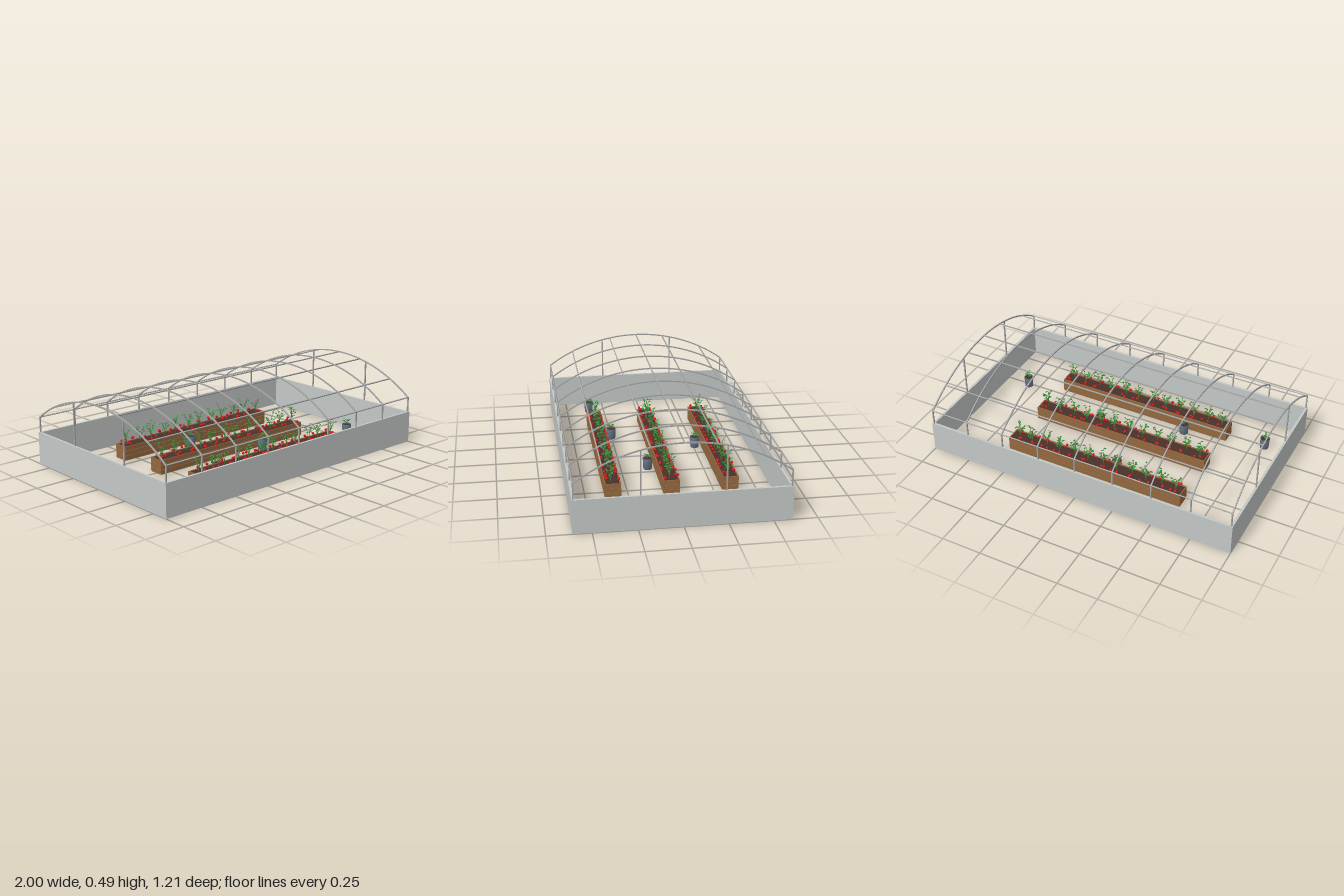
import * as THREE from 'three';
import { mergeGeometries } from 'three/addons/utils/BufferGeometryUtils.js';

const mat = (name, color, side = THREE.FrontSide) => {
  const m = new THREE.MeshStandardMaterial({ color, side });
  m.name = name;
  return m;
};

export function createModel() {
  const M = {
    wall: mat('concrete grey', 0xc3c8c6),
    frame: mat('steel grey', 0xa6a6a6),
    wood: mat('plank brown', 0x94683f),
    darkWood: mat('dark wood', 0x5a3d26),
    soil: mat('soil brown', 0x49302a),
    leaf: mat('leaf green', 0x3a8f3c, THREE.DoubleSide),
    stem: mat('stem green', 0x4c8a3c),
    berry: mat('berry red', 0xe01c1c),
    pot: mat('slate pot', 0x6b7b8c),
  };
  const model = new THREE.Group();
  model.name = 'greenhouse';

  let seed = 7;
  const rand = (a = 0, b = 1) => {
    seed = (seed * 16807) % 2147483647;
    return a + (b - a) * (seed / 2147483647);
  };
  const add = (parent, name, geo, material, x = 0, y = 0, z = 0) => {
    const m = new THREE.Mesh(geo, material);
    m.name = name;
    m.position.set(x, y, z);
    parent.add(m);
    return m;
  };
  const box = (parent, name, w, h, d, material, x, y, z) =>
    add(parent, name, new THREE.BoxGeometry(w, h, d), material, x, y, z);

  // Low perimeter wall, open in the middle
  const W = 1, D = 0.607, T = 0.015, WALL = 0.2;
  for (const s of [-1, 1]) {
    box(model, 'longWall', 2 * W, WALL, T, M.wall, 0, WALL / 2, s * (D - T / 2));
    box(model, 'endWall', T, WALL, 2 * (D - T), M.wall, s * (W - T / 2), WALL / 2, 0);
  }

  // Arched steel frame
  const frame = new THREE.Group();
  frame.name = 'frame';
  model.add(frame);
  const SPAN = 0.602, TOP = 0.493, EAVE = 0.295, BAR = 0.0075;
  const R = (SPAN ** 2 + (TOP - EAVE) ** 2) / (2 * (TOP - EAVE));
  const CY = TOP - R;
  const archY = z => CY + Math.sqrt(R * R - z * z);
  const a = Math.asin(SPAN / R);
  const band = new THREE.Shape();
  band.absarc(0, CY, R, Math.PI / 2 - a, Math.PI / 2 + a, false);
  band.absarc(0, CY, R - BAR, Math.PI / 2 + a, Math.PI / 2 - a, true);
  const archGeo = new THREE.ExtrudeGeometry(band, { depth: BAR, bevelEnabled: false, curveSegments: 20 });
  archGeo.translate(0, 0, -BAR / 2).rotateY(Math.PI / 2);
  for (let i = 0; i < 9; i++) {
    const x = -0.99 + i * 0.2475;
    add(frame, 'arch', archGeo, M.frame, x);
    for (const s of [-1, 1])
      box(frame, 'sidePost', BAR, EAVE - WALL, BAR, M.frame, x, (EAVE + WALL) / 2, s * (SPAN - BAR / 2));
  }
  for (const z of [-0.598, -0.443, -0.183, 0, 0.183, 0.443, 0.598]) {
    const rail = box(frame, 'purlin', 1.98, 0.0065, 0.0065, M.frame, 0, archY(z) - 0.004, z);
    rail.rotation.x = Math.asin(z / R);
  }
  for (const x of [-0.99, 0.99])
    for (const z of [-0.235, 0.235]) {
      const h = archY(z) - 0.005 - WALL;
      box(frame, 'endPost', BAR, h, BAR, M.frame, x, WALL + h / 2, z);
    }

  // Pointed, slightly folded leaf growing along +z
  const leafGeo = new THREE.PlaneGeometry(1, 1, 2, 2);
  const lp = leafGeo.attributes.position;
  for (let i = 0; i < lp.count; i++) {
    const u = lp.getX(i), v = lp.getY(i);
    lp.setXYZ(i, -u * (v === 0 ? 0.8 : 0.06), Math.abs(u) * 0.2 - v * v * 0.25, v + 0.5);
  }
  leafGeo.computeVertexNormals();
  const berryGeo = new THREE.SphereGeometry(0.0085, 8, 6);

  // Plant pieces are gathered into lists and merged, one mesh per colour
  const growPlant = (parts, x, y, z, height, reach, stems) => {
    for (let s = 0; s < stems; s++) {
      const yaw = (s / stems) * Math.PI * 2 + rand(-0.6, 0.6);
      const r = reach * rand(0.55, 1), h = height * rand(0.6, 1);
      const curve = new THREE.QuadraticBezierCurve3(
        new THREE.Vector3(x, y, z),
        new THREE.Vector3(x + Math.sin(yaw) * r * 0.2, y + h * 0.7, z + Math.cos(yaw) * r * 0.2),
        new THREE.Vector3(x + Math.sin(yaw) * r, y + h, z + Math.cos(yaw) * r));
      parts.stems.push(new THREE.TubeGeometry(curve, 4, 0.0014, 4));
      for (const t of [0.5, 0.8, 1]) {
        const p = curve.getPoint(t), size = rand(0.014, 0.021);
        parts.leaves.push(leafGeo.clone().scale(size, size, size)
          .rotateX(rand(-0.4, 0.4)).rotateY(yaw + rand(-1.8, 1.8)).translate(p.x, p.y, p.z));
      }
    }
  };
  const finishPlants = (parent, parts) => {
    add(parent, 'stems', mergeGeometries(parts.stems), M.stem);
    add(parent, 'leaves', mergeGeometries(parts.leaves), M.leaf);
    if (parts.berries.length) add(parent, 'berries', mergeGeometries(parts.berries), M.berry);
  };

  // Three long plank planters
  const L = 1.172, PW = 0.094, H = 0.09;
  for (const z of [-0.346, 0, 0.341]) {
    const bed = new THREE.Group();
    bed.name = 'planter';
    bed.position.z = z;
    model.add(bed);
    box(bed, 'planterCore', L - 0.012, 0.076, PW - 0.012, M.darkWood, 0, 0.039, 0);
    box(bed, 'soil', L - 0.014, 0.008, PW - 0.014, M.soil, 0, 0.08, 0);
    for (let k = 0; k < 3; k++) {
      const y = H * (k + 0.5) / 3;
      for (const s of [-1, 1]) {
        box(bed, 'sidePlank', L, H / 3 - 0.002, 0.006, M.wood, 0, y, s * (PW / 2 - 0.003));
        box(bed, 'endPlank', 0.006, H / 3 - 0.002, PW - 0.012, M.wood, s * (L / 2 - 0.003), y, 0);
      }
    }
    const parts = { stems: [], leaves: [], berries: [] };
    for (let i = 0; i < 12; i++) {
      const x = -0.54 + i * 0.098, pz = (i % 2 ? 1 : -1) * 0.008;
      growPlant(parts, x, 0.084, pz, 0.105, 0.029, 5);
      // fruit resting near both edges of the bed
      for (let b = 0; b < 4; b++) {
        const side = b % 2 ? 1 : -1;
        parts.berries.push(berryGeo.clone().translate(
          x + rand(-0.03, 0.03), rand(0.093, 0.108), side * rand(0.03, 0.04)));
      }
    }
    finishPlants(bed, parts);
  }

  // Loose round pots with small seedlings
  const potProfile = [[0, 0], [0.026, 0], [0.03, 0.07], [0.027, 0.07], [0.0265, 0.062]]
    .map(([r, y]) => new THREE.Vector2(r, y));
  const potGeo = new THREE.LatheGeometry(potProfile, 20);
  for (const [x, z] of [[-0.825, 0.353], [-0.315, 0.253], [-0.1, -0.257], [0.197, 0.087], [0.823, 0.234]]) {
    const pot = new THREE.Group();
    pot.name = 'pottedPlant';
    pot.position.set(x, 0, z);
    model.add(pot);
    add(pot, 'pot', potGeo, M.pot);
    add(pot, 'potSoil', new THREE.CylinderGeometry(0.027, 0.0265, 0.006, 20), M.soil, 0, 0.063, 0);
    const parts = { stems: [], leaves: [], berries: [] };
    growPlant(parts, 0, 0.065, 0, 0.035, 0.016, 4);
    finishPlants(pot, parts);
  }
  return model;
}
